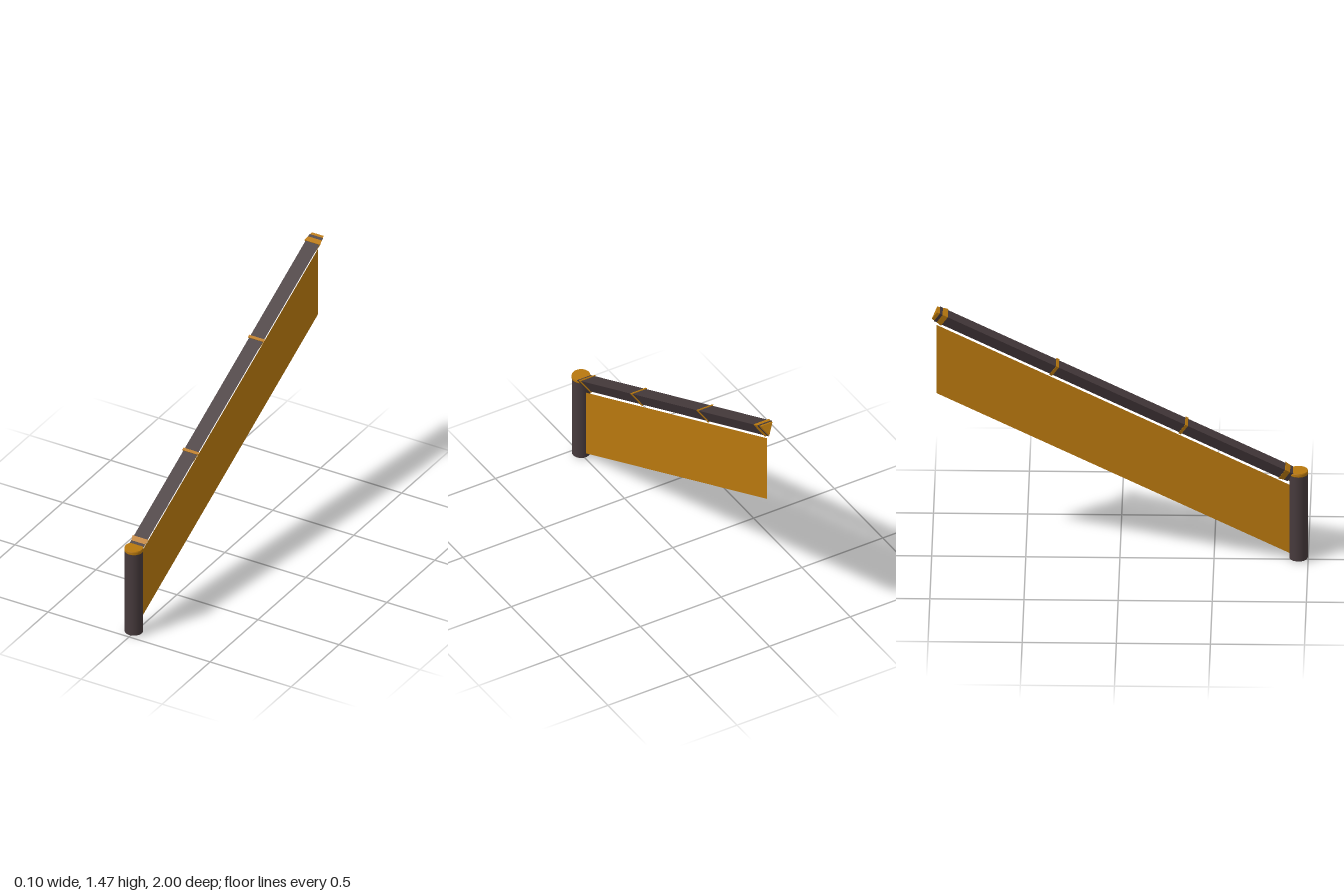
import * as THREE from 'three';

const SLOPE = Math.atan(0.4986);
const RAIL_Y = 0.964; // height of the rail axis above the origin

export function createModel() {
  const model = new THREE.Group();
  model.name = 'stairRailing';
  const dark = new THREE.MeshStandardMaterial({ color: 0x463a3c });
  const darkFlat = new THREE.MeshStandardMaterial({ color: 0x463a3c, flatShading: true });
  const gold = new THREE.MeshStandardMaterial({ color: 0xb8780e, flatShading: true });
  const goldSheet = new THREE.MeshStandardMaterial({ color: 0xb8780e, side: THREE.DoubleSide });

  const add = (parent, name, geometry, material) => {
    const mesh = new THREE.Mesh(geometry, material);
    mesh.name = name;
    parent.add(mesh);
    return mesh;
  };

  // Newel post with a bevelled disc on top
  const post = new THREE.Group();
  post.name = 'post';
  post.position.z = 0.949;
  model.add(post);
  add(post, 'postShaft', new THREE.CylinderGeometry(0.049, 0.049, 0.505, 32), dark).position.y = 0.2645;
  const capProfile = [[0, 0.51], [0.048, 0.51], [0.051, 0.515], [0.051, 0.527], [0.049, 0.533], [0, 0.533]];
  add(post, 'postCap', new THREE.LatheGeometry(capProfile.map(p => new THREE.Vector2(...p)), 32), gold);

  // Sloping handrail: triangular bar, flat side up, running along local +y
  const handrail = new THREE.Group();
  handrail.name = 'handrail';
  handrail.position.y = RAIL_Y;
  handrail.rotation.x = SLOPE - Math.PI / 2;
  model.add(handrail);
  const prism = (name, from, to, rFrom, rTo, material) => {
    const geometry = new THREE.CylinderGeometry(rTo, rFrom, to - from, 3);
    geometry.rotateY(Math.PI);
    add(handrail, name, geometry, material).position.y = (from + to) / 2;
  };
  prism('railBar', -1.02, 1.08, 0.049, 0.049, darkFlat);
  prism('lowerEndCap', -1.031, -0.969, 0.041, 0.0565, gold);
  prism('upperEndCap', 1.034, 1.096, 0.0565, 0.041, gold);
  for (const s of [-0.383, 0.383]) prism('railBand', s - 0.008, s + 0.008, 0.0565, 0.0565, gold);

  // Thin slanted panel under the rail, drawn in (z, y)
  const end = 0.975, rise = end * Math.tan(SLOPE), low = 0.487, high = 0.894;
  const outline = new THREE.Shape([
    new THREE.Vector2(-end, low - rise),
    new THREE.Vector2(end, low + rise),
    new THREE.Vector2(end, high + rise),
    new THREE.Vector2(-end, high - rise),
  ]);
  add(model, 'panel', new THREE.ShapeGeometry(outline).rotateY(Math.PI / 2), goldSheet);

  return model;
}
